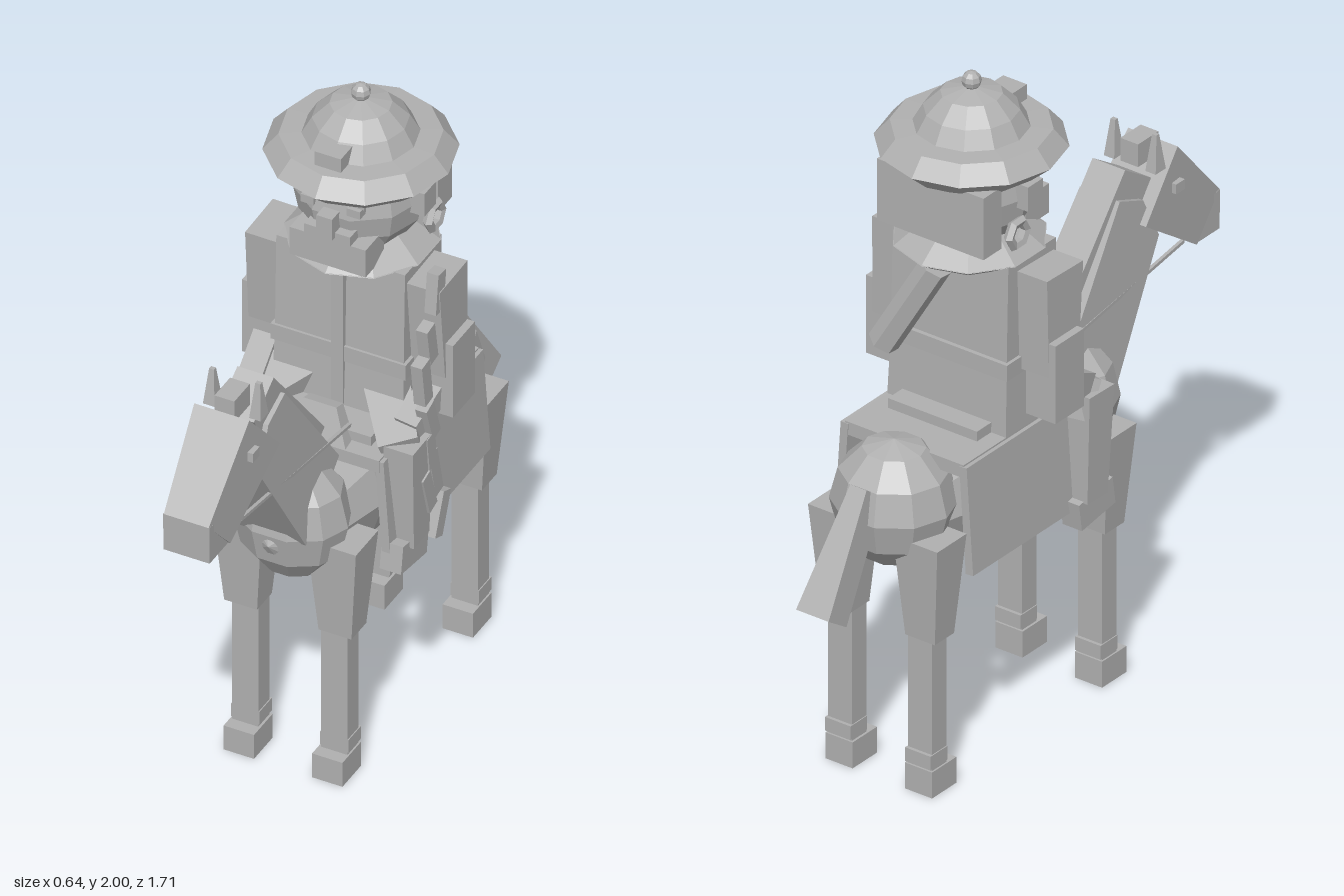
import * as THREE from 'three';

const stone = new THREE.MeshStandardMaterial({ color: 0xb0b0b0, flatShading: true });
stone.name = 'stone grey';

export function createModel() {
  const root = new THREE.Group();
  root.name = 'horseArcher';
  const horse = new THREE.Group();
  horse.name = 'horse';
  const rider = new THREE.Group();
  rider.name = 'rider';
  root.add(horse, rider);

  const add = (parent, name, geo, x = 0, y = 0, z = 0) => {
    const m = new THREE.Mesh(geo, stone);
    m.name = name;
    m.position.set(x, y, z);
    parent.add(m);
    return m;
  };
  // box given by its ranges on each axis
  const block = (parent, name, [x0, x1], [y0, y1], [z0, z1]) =>
    add(parent, name, new THREE.BoxGeometry(Math.abs(x1 - x0), y1 - y0, z1 - z0),
      (x0 + x1) / 2, (y0 + y1) / 2, (z0 + z1) / 2);
  // four-sided beam from a to b; sizes are [width in x, depth] at each end
  const beam = (parent, name, a, b, [wa, da], [wb, db] = [wa, da]) => {
    const A = new THREE.Vector3(...a), B = new THREE.Vector3(...b);
    const dir = B.clone().sub(A), g = new THREE.BoxGeometry(1, dir.length(), 1), p = g.attributes.position;
    for (let i = 0; i < p.count; i++) {
      const end = p.getY(i) > 0;
      p.setX(i, p.getX(i) * (end ? wb : wa));
      p.setZ(i, p.getZ(i) * (end ? db : da));
    }
    const m = add(parent, name, g);
    m.position.copy(A).add(B).multiplyScalar(0.5);
    const flip = dir.y < 0 ? -1 : 1;
    const yAxis = dir.normalize();
    const zAxis = new THREE.Vector3(1, 0, 0).cross(yAxis).normalize().multiplyScalar(flip);
    const xAxis = yAxis.clone().cross(zAxis);
    m.quaternion.setFromRotationMatrix(new THREE.Matrix4().makeBasis(xAxis, yAxis, zAxis));
    return m;
  };
  // side profile of [z, y] points, its half width set by a rule
  const prism = (parent, name, pts, half) => {
    const s = new THREE.Shape(pts.map(([z, y]) => new THREE.Vector2(z, y)));
    const g = new THREE.ExtrudeGeometry(s, { depth: 2, bevelEnabled: false });
    g.translate(0, 0, -1).rotateY(-Math.PI / 2);
    const p = g.attributes.position;
    for (let i = 0; i < p.count; i++) p.setX(i, p.getX(i) * half(p.getZ(i), p.getY(i)));
    return add(parent, name, g);
  };
  const ball = (parent, name, [rx, ry, rz], [x, y, z], seg = 10, rings = 6) => {
    const g = new THREE.SphereGeometry(1, seg, rings);
    g.scale(rx, ry, rz);
    return add(parent, name, g, x, y, z);
  };

  // Horse trunk
  const barrel = new THREE.SphereGeometry(1, 10, 8);
  barrel.rotateX(Math.PI / 2).scale(0.2, 0.2, 0.52);
  add(horse, 'barrel', barrel, 0, 0.8, -0.13);
  ball(horse, 'chest', [0.17, 0.195, 0.14], [0, 0.83, 0.25]);
  ball(horse, 'rump', [0.178, 0.185, 0.17], [0, 0.835, -0.49]);

  // Neck, mane and head
  prism(horse, 'neck', [[0.58, 1.19], [0.36, 0.82], [0.15, 0.98], [0.42, 1.36], [0.52, 1.32]],
    (z, y) => 0.1 - 0.03 * Math.max(0, (y - 0.82) / 0.5));
  prism(horse, 'mane', [[0.46, 1.435], [0.575, 1.36], [0.29, 0.985], [0.167, 1.075]], () => 0.055);
  prism(horse, 'head', [[0.655, 1.43], [0.5, 1.255], [0.75, 1.08], [0.86, 1.2]],
    z => 0.095 - 0.075 * Math.max(0, z - 0.5));
  prism(horse, 'muzzle', [[0.86, 1.2], [0.72, 1.18], [0.75, 1.08], [0.858, 1.08]], () => 0.07);
  block(horse, 'forelock', [-0.03, 0.03], [1.395, 1.465], [0.55, 0.64]);
  for (const s of [-1, 1]) {
    beam(horse, 'horseEar', [s * 0.07, 1.39, 0.575], [s * 0.07, 1.5, 0.575], [0.035, 0.045], [0.015, 0.012]);
    block(horse, 'horseEye', [s * 0.07, s * 0.1], [1.3, 1.33], [0.627, 0.665]);
    beam(horse, 'rein', [s * 0.075, 1.12, 0.69], [s * 0.085, 1.035, 0.08], [0.01, 0.01]);
  }
  // Tail, widening to its end
  beam(horse, 'tail', [0, 0.915, -0.61], [0, 0.61, -0.812], [0.055, 0.09], [0.11, 0.095]);

  // Legs
  for (const s of [-1, 1]) for (const [front, z] of [[true, 0.232], [false, -0.52]]) {
    const leg = new THREE.Group();
    leg.name = front ? 'frontLeg' : 'hindLeg';
    horse.add(leg);
    beam(leg, 'upperLeg', [s * 0.143, 0.48, z], [s * 0.143, 0.785, z], [0.1, 0.085], [0.15, 0.13]);
    block(leg, 'lowerLeg', [s * 0.095, s * 0.175], [0.07, 0.49], [z - 0.032, z + 0.032]);
    block(leg, 'fetlock', [s * 0.092, s * 0.178], [0.088, 0.13], [z - 0.042, z + 0.032]);
    block(leg, 'hoof', [s * 0.088, s * 0.18], [0, 0.08], [z - 0.038, z + 0.07]);
  }

  // Saddle and cloth
  block(horse, 'saddleCloth', [-0.2, 0.2], [0.945, 0.985], [-0.445, 0.13]);
  block(horse, 'saddle', [-0.15, 0.15], [0.98, 1.015], [-0.32, 0.08]);
  beam(horse, 'pommel', [0, 0.97, 0.1], [0, 1.08, 0.07], [0.2, 0.06], [0.1, 0.04]);
  for (const s of [-1, 1])
    beam(horse, 'clothSide', [s * 0.222, 0.655, -0.16], [s * 0.2, 0.98, -0.16], [0.025, 0.575]);

  // Robe
  beam(rider, 'robeSkirt', [0, 0.985, -0.135], [0, 1.19, -0.135], [0.4, 0.245], [0.39, 0.225]);
  block(rider, 'belt', [-0.205, 0.205], [1.16, 1.21], [-0.26, -0.015]);
  beam(rider, 'chestRobe', [0, 1.2, -0.135], [0, 1.5, -0.135], [0.39, 0.225], [0.39, 0.21]);
  block(rider, 'placket', [-0.018, 0.018], [1.02, 1.5], [-0.03, -0.008]);
  add(rider, 'collarCape', new THREE.CylinderGeometry(0.13, 0.215, 0.065, 10), 0, 1.53, -0.155);
  add(rider, 'capeRim', new THREE.CylinderGeometry(0.215, 0.17, 0.03, 10), 0, 1.484, -0.155);

  // Arms and legs
  for (const s of [-1, 1]) {
    beam(rider, 'upperArm', [s * 0.248, 1.17, -0.13], [s * 0.245, 1.47, -0.12], [0.1, 0.13], [0.1, 0.16]);
    block(rider, 'forearm', [s * 0.22, s * 0.32], [1.04, 1.28], [-0.195, -0.07]);
    beam(rider, 'hand', [s * 0.25, 1.1, -0.09], [s * 0.235, 1.04, 0.03], [0.07, 0.07]);
    beam(rider, 'thigh', [s * 0.12, 1.06, -0.09], [s * 0.235, 0.98, 0.06], [0.13, 0.12], [0.11, 0.12]);
    beam(rider, 'shin', [s * 0.245, 1.02, 0.05], [s * 0.245, 0.69, 0.04], [0.09, 0.11], [0.075, 0.09]);
    const foot = block(rider, 'boot', [s * 0.205, s * 0.27], [0.62, 0.705], [-0.02, 0.13]);
    foot.rotation.x = -0.15;
  }

  // Head and face
  ball(rider, 'riderHead', [0.185, 0.185, 0.185], [0, 1.67, -0.15], 10, 8);
  block(rider, 'backHair', [-0.18, 0.18], [1.56, 1.75], [-0.33, -0.25]);
  block(rider, 'beard', [-0.115, 0.115], [1.515, 1.605], [-0.06, 0.045]);
  block(rider, 'moustache', [-0.07, 0.07], [1.605, 1.635], [-0.02, 0.048]);
  block(rider, 'nose', [-0.024, 0.024], [1.62, 1.69], [0, 0.065]);
  for (const s of [-1, 1]) {
    block(rider, 'eye', [s * 0.05, s * 0.09], [1.69, 1.715], [-0.03, 0.03]);
    block(rider, 'brow', [s * 0.035, s * 0.105], [1.73, 1.75], [-0.03, 0.035]);
    block(rider, 'riderEar', [s * 0.16, s * 0.212], [1.65, 1.725], [-0.175, -0.11]);
    const ring = add(rider, 'earring', new THREE.TorusGeometry(0.037, 0.015, 5, 6), s * 0.195, 1.59, -0.2);
    ring.rotation.y = Math.PI / 2;
  }

  // Hat
  const hatPts = [[0, 1.76], [0.19, 1.73], [0.2, 1.73], [0.265, 1.787], [0.222, 1.837],
    [0.16, 1.84], [0.132, 1.89], [0.085, 1.937], [0, 1.957]];
  add(rider, 'hat', new THREE.LatheGeometry(hatPts.map(p => new THREE.Vector2(...p)), 12), 0, 0, -0.147);
  ball(rider, 'hatFinial', [0.028, 0.028, 0.028], [0, 1.972, -0.147], 8, 6);
  block(rider, 'hatBadge', [-0.04, 0.04], [1.84, 1.885], [-0.03, 0.045]);

  // Recurve bow hung on the left side, as [z, y] joints
  const bow = new THREE.Group();
  bow.name = 'bow';
  rider.add(bow);
  const joints = [[-0.06, 1.525], [-0.045, 1.4], [0.005, 1.38], [-0.015, 1.26], [0.035, 1.28], [0.015, 1.14],
    [0.01, 1.12], [-0.03, 1.0], [0.005, 1.02], [-0.01, 0.91], [-0.01, 0.95], [-0.045, 0.8],
    [0.03, 0.9], [-0.01, 0.77], [-0.09, 0.775], [-0.04, 0.65]];
  for (let i = 0; i < joints.length; i += 2) {
    const [[z0, y0], [z1, y1]] = [joints[i], joints[i + 1]];
    beam(bow, 'bowSegment', [0.275, y0, z0], [0.275, y1, z1], [0.035, 0.045]);
  }

  // Quiver slung across the back
  const top = new THREE.Vector3(0, 1.47, -0.305), end = new THREE.Vector3(0.15, 1.2, -0.34);
  const quiver = add(rider, 'quiver', new THREE.CylinderGeometry(0.045, 0.045, top.distanceTo(end), 6));
  quiver.position.copy(top).add(end).multiplyScalar(0.5);
  quiver.quaternion.setFromUnitVectors(new THREE.Vector3(0, 1, 0), top.clone().sub(end).normalize());

  return root;
}
